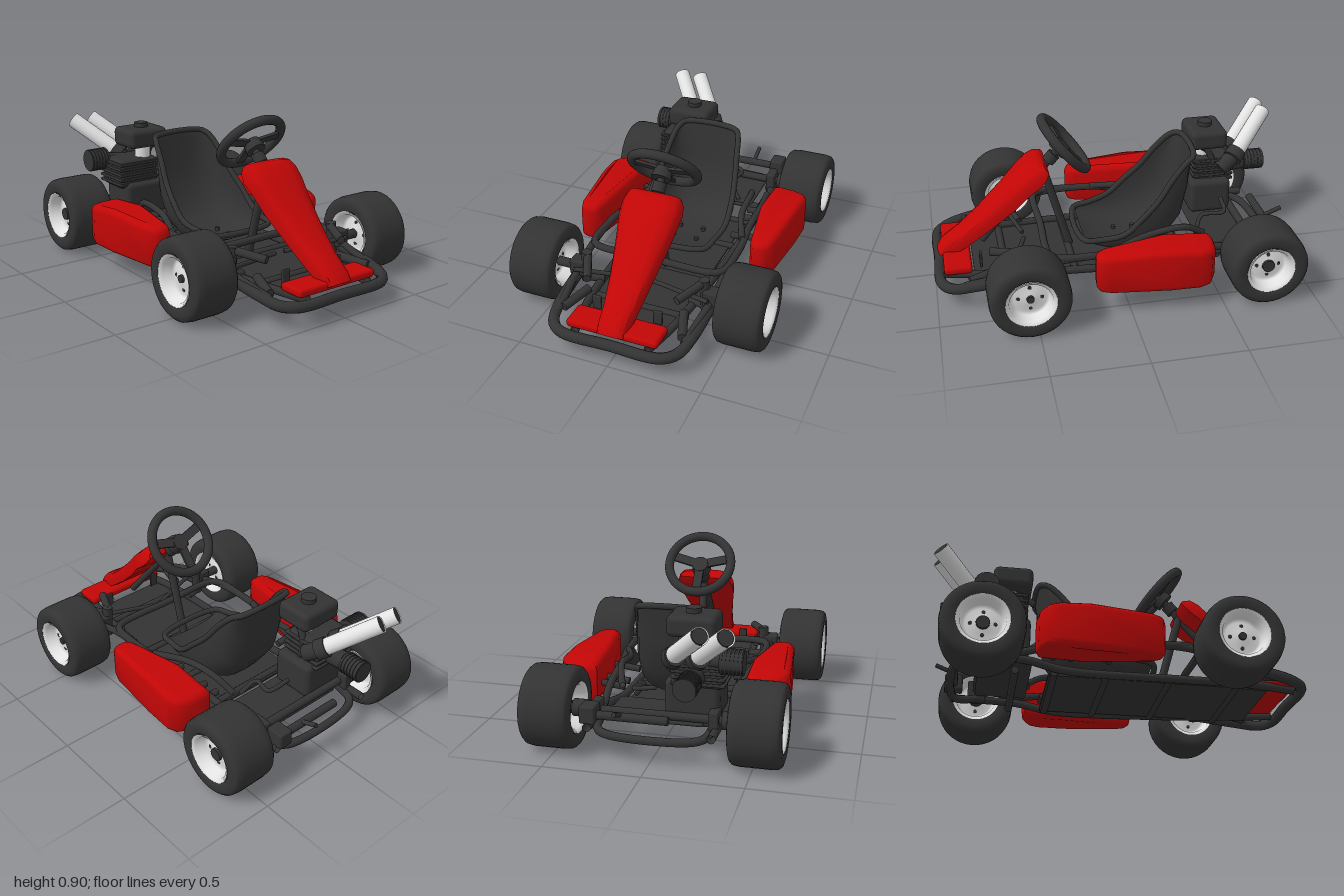
import * as THREE from 'three';
import { toCreasedNormals } from 'three/addons/utils/BufferGeometryUtils.js';
import { RoundedBoxGeometry } from 'three/addons/geometries/RoundedBoxGeometry.js';

const material = (name, color) => {
  const m = new THREE.MeshStandardMaterial({ color, side: THREE.DoubleSide });
  m.name = name;
  return m;
};
const V = (p) => new THREE.Vector3(...p);

export function createModel() {
  const dark = material('charcoal', 0x333333);
  const red = material('red', 0xc20606);
  const silver = material('silver', 0xe2e2e2);
  const kart = new THREE.Group();
  kart.name = 'goKart';

  const add = (name, geo, mat, pos = [0, 0, 0], parent = kart) => {
    const m = new THREE.Mesh(geo, mat);
    m.name = name;
    m.position.set(...pos);
    parent.add(m);
    return m;
  };
  const box = (name, size, pos, mat = dark, r = 0.01) =>
    add(name, new RoundedBoxGeometry(...size, 2, r), mat, pos);
  const tube = (name, pts, r = 0.02, closed = false) =>
    add(name, new THREE.TubeGeometry(
      new THREE.CatmullRomCurve3(pts.map(V), closed, 'centripetal'), pts.length * 6, r, 10, closed), dark);
  // Straight cylinder between two points
  const rod = (name, a, b, r = 0.02, mat = dark, open = false) => {
    const A = V(a), B = V(b), d = B.clone().sub(A);
    const m = add(name, new THREE.CylinderGeometry(r, r, d.length(), 18, 1, open), mat);
    m.position.copy(A).lerp(B, 0.5);
    m.quaternion.setFromUnitVectors(new THREE.Vector3(0, 1, 0), d.normalize());
    return m;
  };
  // Surface through rows of points, optionally closed round and capped
  const loft = (rows, closed) => {
    const n = rows[0].length, idx = [], pos = rows.flat(2);
    for (let i = 0; i < rows.length - 1; i++)
      for (let j = 0; j < (closed ? n : n - 1); j++) {
        const a = i * n + j, b = i * n + (j + 1) % n;
        idx.push(a, b, a + n, b, b + n, a + n);
      }
    if (closed) for (let j = 1; j < n - 1; j++) {
      const e = (rows.length - 1) * n;
      idx.push(0, j + 1, j, e, e + j, e + j + 1);
    }
    const g = new THREE.BufferGeometry();
    g.setAttribute('position', new THREE.Float32BufferAttribute(pos, 3));
    g.setIndex(idx);
    return toCreasedNormals(g, 0.9);
  };

  // Wheels: barrel tyre, dished rim, dark hub and bolts
  const wheel = (name, s, x, z, h, hubRadius) => {
    const w = new THREE.Group();
    w.name = name;
    w.position.set(s * x, 0.215, z);
    w.rotation.z = -s * Math.PI / 2;
    kart.add(w);
    const half = [[0.128, 0.9], [0.14, 1], [0.175, 1], [0.195, 0.96], [0.207, 0.86], [0.212, 0.6]];
    const prof = [...half.map(([r, k]) => [r, -k]), ...half.reverse()];
    add('tyre', new THREE.LatheGeometry(prof.map(([r, k]) => new THREE.Vector2(r, k * h)), 40), dark, [0, 0, 0], w);
    const rim = [[0.001, 0.56], [0.035, 0.54], [0.085, 0.42], [0.1, 0.5], [0.112, 0.88], [0.132, 0.97]];
    for (const f of [1, -1])
      add('rim', new THREE.LatheGeometry(rim.map(([r, k]) => new THREE.Vector2(r, f * k * h)), 36), silver, [0, 0, 0], w);
    add('hub', new THREE.CylinderGeometry(hubRadius, hubRadius, h * 1.3, 16), dark, [0, 0, 0], w);
    for (let i = 0; i < 4; i++) {
      const a = i * Math.PI / 2;
      add('wheelBolt', new THREE.CylinderGeometry(0.01, 0.01, h, 8), dark,
        [0.06 * Math.cos(a), 0, 0.06 * Math.sin(a)], w);
    }
  };

  for (const s of [1, -1]) {
    wheel('frontWheel', s, 0.575, 0.54, 0.125, 0.02);
    wheel('rearWheel', s, 0.52, -0.73, 0.13, 0.034);

    // Side pods
    const outline = [[0.395, -0.45], [0.44, -0.465], [0.53, -0.455], [0.595, -0.42], [0.615, -0.36],
      [0.605, -0.2], [0.575, 0.11], [0.555, 0.165], [0.52, 0.18], [0.47, 0.175], [0.445, 0.13], [0.395, -0.2]];
    const pod = new THREE.ExtrudeGeometry(
      new THREE.Shape(outline.map(([x, z]) => new THREE.Vector2(s * x, -z))),
      { depth: 0.18, bevelSize: 0.035, bevelOffset: -0.035, bevelThickness: 0.035, bevelSegments: 4 });
    pod.rotateX(-Math.PI / 2);
    const p = pod.attributes.position;
    for (let i = 0; i < p.count; i++) {
      const z = p.getZ(i), k = p.getY(i) / 0.18;
      p.setY(i, p.getY(i) + (k > 0.5 ? -0.25 : 0.1) * (z + 0.14) ** 2);
    }
    add('sidePod', toCreasedNormals(pod, 1), red, [0, 0.155, 0]);

    // Chassis rails and side bars
    tube('mainRail', [[s * 0.2, 0.13, 0.95], [s * 0.25, 0.13, 0.7], [s * 0.28, 0.12, 0.3],
      [s * 0.3, 0.12, -0.3], [s * 0.31, 0.16, -0.5], [s * 0.31, 0.17, -0.87]], 0.022);
    tube('sideBar', [[s * 0.35, 0.14, 0.85], [s * 0.38, 0.2, 0.55], [s * 0.385, 0.25, 0.35], [s * 0.385, 0.26, 0.1],
      [s * 0.36, 0.25, -0.1], [s * 0.34, 0.22, -0.4], [s * 0.31, 0.18, -0.6]]);
    tube('seatRail', [[s * 0.37, 0.27, 0.05], [s * 0.3, 0.3, -0.15], [s * 0.29, 0.32, -0.35], [s * 0.25, 0.25, -0.47]], 0.018);
    for (const z of [-0.36, -0.27, -0.07])
      rod('podMount', [s * 0.27, 0.2, z], [s * 0.45, 0.22, z], 0.019);

    // Front suspension and steering links
    rod('stubAxle', [s * 0.34, 0.215, 0.54], [s * 0.5, 0.215, 0.54], 0.026);
    rod('kingpin', [s * 0.345, 0.13, 0.53], [s * 0.335, 0.31, 0.53], 0.028);
    box('steeringKnuckle', [0.08, 0.09, 0.08], [s * 0.38, 0.22, 0.54]);
    rod('upperArm', [s * 0.25, 0.27, 0.7], [s * 0.33, 0.29, 0.53], 0.022);
    rod('lowerArm', [s * 0.25, 0.14, 0.5], [s * 0.35, 0.15, 0.53], 0.024);
    rod('tieRod', [s * 0.03, 0.2, 0.5], [s * 0.38, 0.23, 0.6], 0.012);
    rod('frontBracket', [s * 0.33, 0.15, 0.82], [s * 0.27, 0.17, 0.65], 0.024);
    box('footPedal', [0.05, 0.08, 0.015], [s * 0.17, 0.18, 0.75], dark, 0.005);

    // Rear axle bearings
    box('axleBearing', [0.05, 0.12, 0.1], [s * 0.3, 0.21, -0.73]);
    rod('rearHub', [s * 0.34, 0.215, -0.73], [s * 0.42, 0.215, -0.73], 0.045);
  }

  // Bumpers, cross members and floor
  tube('frontBumper', [[-0.385, 0.18, 0.5], [-0.37, 0.14, 0.8], [-0.34, 0.12, 0.91], [-0.27, 0.115, 0.965], [0, 0.115, 0.97],
    [0.27, 0.115, 0.965], [0.34, 0.12, 0.91], [0.37, 0.14, 0.8], [0.385, 0.18, 0.5]], 0.029);
  tube('dashHoop', [[-0.385, 0.26, 0.1], [-0.38, 0.265, 0.35], [-0.34, 0.265, 0.395], [0, 0.265, 0.4],
    [0.34, 0.265, 0.395], [0.38, 0.265, 0.35], [0.385, 0.26, 0.1]]);
  tube('rearBumper', [[-0.29, 0.17, -0.7], [-0.27, 0.15, -0.82], [-0.2, 0.14, -0.86], [0.2, 0.14, -0.86],
    [0.27, 0.15, -0.82], [0.29, 0.17, -0.7]], 0.022);
  for (const z of [0.62, 0.25, -0.08, -0.35, -0.55]) rod('crossMember', [-0.28, 0.115, z], [0.28, 0.115, z], 0.02);
  rod('rearCrossBar', [-0.1, 0.24, -0.86], [0.3, 0.24, -0.86], 0.022);
  rod('rearAxle', [-0.5, 0.215, -0.73], [0.5, 0.215, -0.73], 0.022);
  box('brakeCaliper', [0.08, 0.09, 0.1], [0.295, 0.25, -0.86]);
  rod('rearLever', [0.14, 0.25, -0.86], [0.14, 0.29, -0.96], 0.012);
  const floor = new THREE.Shape([[-0.23, 0.79], [0.23, 0.79], [0.25, 0.6], [0.26, -0.38], [-0.26, -0.38], [-0.25, 0.6]]
    .map(([x, z]) => new THREE.Vector2(x, -z)));
  const floorGeo = new THREE.ExtrudeGeometry(floor, { depth: 0.012, bevelEnabled: false });
  add('floorPan', floorGeo.rotateX(-Math.PI / 2), dark, [0, 0.105, 0]);
  box('engineMount', [0.5, 0.02, 0.28], [0.01, 0.18, -0.6]);

  // Front fairing: [top z, top y, under z, under y, half width]
  const fairing = [[0.975, 0.175, 0.93, 0.15, 0.075], [0.95, 0.22, 0.88, 0.165, 0.08], [0.86, 0.28, 0.8, 0.22, 0.09],
    [0.74, 0.38, 0.68, 0.315, 0.11], [0.6, 0.515, 0.54, 0.44, 0.14], [0.52, 0.6, 0.46, 0.53, 0.16],
    [0.465, 0.65, 0.4, 0.575, 0.165], [0.42, 0.675, 0.37, 0.61, 0.155], [0.38, 0.672, 0.357, 0.64, 0.14]];
  const ring = [[-1, 0.95], [-0.98, 0.5], [-0.85, 0.15], [-0.5, 0.02], [0, 0], [0.5, 0.02], [0.85, 0.15], [0.98, 0.5],
    [1, 0.95], [0.8, 1], [-0.8, 1]];
  add('frontFairing', loft(fairing.map(([tz, ty, uz, uy, w]) =>
    ring.map(([x, k]) => [x * w, ty + (uy - ty) * k, tz + (uz - tz) * k])), true), red);
  box('frontLip', [0.5, 0.045, 0.15], [0, 0.165, 0.875], red, 0.018);

  // Bucket seat with a rolled edge: [base z, base y, edge z, edge y, half width]
  const seat = [[0.17, 0.2, 0.18, 0.24, 0.19], [0.05, 0.145, 0.08, 0.25, 0.22], [-0.15, 0.135, -0.03, 0.28, 0.242],
    [-0.29, 0.17, -0.13, 0.37, 0.242], [-0.385, 0.3, -0.22, 0.46, 0.227], [-0.42, 0.48, -0.3, 0.57, 0.207],
    [-0.43, 0.64, -0.38, 0.655, 0.185], [-0.435, 0.675, -0.425, 0.677, 0.155]];
  add('seatShell', loft(seat.map(([bz, by, ez, ey, w]) => Array.from({ length: 17 }, (_, i) => {
    const a = (i / 16 - 0.5) * Math.PI, k = 1 - Math.cos(a) ** 0.8;
    return [w * Math.sign(a) * Math.abs(Math.sin(a)) ** 0.7, by + (ey - by) * k, bz + (ez - bz) * k];
  }))), dark);
  const edge = (s) => seat.map(([, , z, y, w]) => [s * w, y, z]);
  tube('seatRim', [...edge(-1), ...edge(1).reverse()], 0.016, true);
  for (const x of [-0.07, 0.07]) for (const z of [-0.03, -0.14])
    rod('seatBolt', [x, 0.12, z], [x, 0.158, z], 0.013);

  // Steering wheel and column
  const steering = new THREE.Group();
  steering.name = 'steeringWheel';
  steering.position.set(0, 0.747, 0.255);
  steering.rotation.x = 0.706;
  kart.add(steering);
  add('steeringRim', new THREE.TorusGeometry(0.178, 0.026, 14, 48), dark, [0, 0, 0], steering);
  for (const deg of [15, 165, 270]) {
    const a = deg * Math.PI / 180;
    add('spoke', new THREE.BoxGeometry(0.17, 0.05, 0.015), dark,
      [0.09 * Math.cos(a), 0.09 * Math.sin(a), 0.01], steering).rotation.z = a;
  }
  add('steeringHub', new THREE.CylinderGeometry(0.055, 0.045, 0.06, 20).rotateX(Math.PI / 2), dark, [0, 0, 0.03], steering);
  rod('steeringColumn', [0, 0.73, 0.275], [0, 0.2, 0.73], 0.02);
  rod('columnCollar', [0, 0.69, 0.31], [0, 0.65, 0.345], 0.036);
  rod('columnPost', [0, 0.61, 0.375], [0, 0.12, 0.24], 0.022);

  // Engine
  box('engineBlock', [0.28, 0.2, 0.24], [-0.18, 0.3, -0.6], dark, 0.03);
  box('engineHead', [0.25, 0.17, 0.22], [-0.215, 0.45, -0.62], dark, 0.025);
  for (let i = 0; i < 5; i++) box('engineFin', [0.27, 0.016, 0.24], [-0.215, 0.39 + i * 0.03, -0.62], dark, 0.005);
  rod('intakeNeck', [-0.16, 0.52, -0.57], [-0.16, 0.61, -0.57], 0.045, silver);
  box('fuelTank', [0.25, 0.11, 0.21], [-0.165, 0.655, -0.58], dark, 0.03);
  rod('tankCap', [-0.16, 0.7, -0.58], [-0.16, 0.735, -0.58], 0.04);
  tube('fuelHose', [[-0.1, 0.58, -0.45], [-0.1, 0.61, -0.5], [-0.1, 0.58, -0.58], [-0.1, 0.48, -0.62], [-0.1, 0.38, -0.6]], 0.018);
  tube('throttleHose', [[0.18, 0.2, -0.45], [0.12, 0.28, -0.5], [0.14, 0.3, -0.62], [0.02, 0.32, -0.64]], 0.012);
  const finned = (name, a, b, r) => {
    rod(name, a, b, r * 0.93);
    const at = (t) => a.map((v, k) => v + (b[k] - v) * t);
    for (let i = 0; i < 6; i++) rod(name + 'Fin', at(i / 6 + 0.03), at(i / 6 + 0.13), r);
  };
  finned('airFilter', [-0.325, 0.515, -0.72], [-0.44, 0.515, -0.72], 0.065);
  finned('starter', [-0.2, 0.44, -0.83], [-0.2, 0.44, -0.95], 0.06);
  rod('starterArm', [-0.2, 0.42, -0.66], [-0.2, 0.44, -0.83], 0.05);
  rod('filterArm', [-0.2, 0.5, -0.68], [-0.33, 0.515, -0.72], 0.035);

  // Twin exhaust pipes
  for (const x of [-0.22, -0.1]) {
    rod('exhaustElbow', [x + 0.02, 0.46, -0.66], [x - 0.005, 0.53, -0.755], 0.045);
    rod('exhaustCollar', [x + 0.015, 0.515, -0.73], [x - 0.015, 0.545, -0.77], 0.055);
    rod('exhaustPipe', [x, 0.535, -0.755], [x - 0.178, 0.715, -0.967], 0.045, silver, true);
    rod('exhaustBore', [x - 0.15, 0.687, -0.934], [x - 0.176, 0.713, -0.965], 0.039);
  }
  return kart;
}
